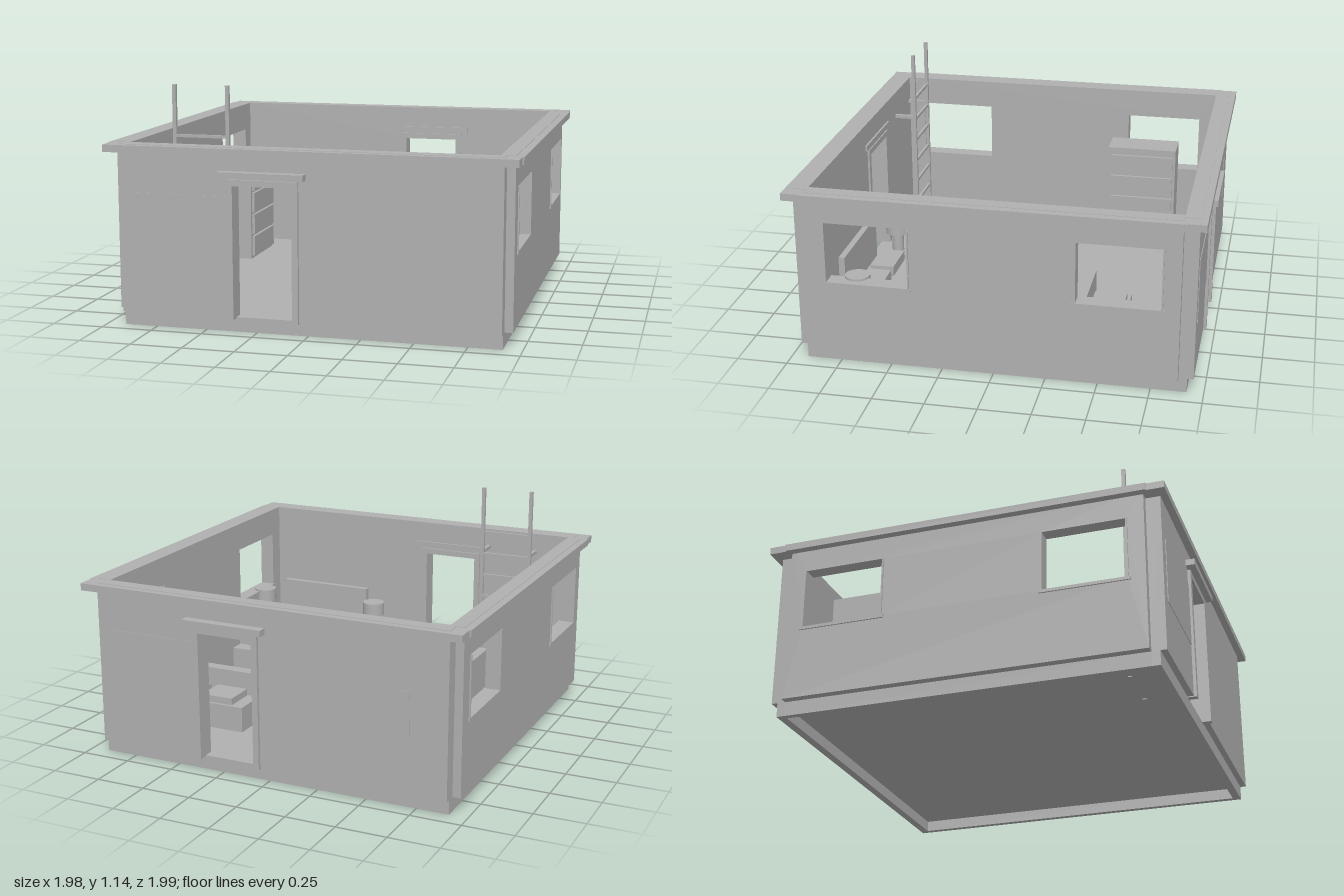
import * as THREE from 'three';

const grey = new THREE.MeshStandardMaterial({ color: 0xb0b0b0, side: THREE.DoubleSide });
grey.name = 'plain grey';

function add(parent, name, geometry) {
  const mesh = new THREE.Mesh(geometry, grey);
  mesh.name = name;
  parent.add(mesh);
  return mesh;
}

// box given by its limits on each axis
function box(parent, name, [x0, x1], [y0, y1], [z0, z1]) {
  const mesh = add(parent, name, new THREE.BoxGeometry(x1 - x0, y1 - y0, z1 - z0));
  mesh.position.set((x0 + x1) / 2, (y0 + y1) / 2, (z0 + z1) / 2);
  return mesh;
}

function group(parent, name) {
  const g = new THREE.Group();
  g.name = name;
  parent.add(g);
  return g;
}

function polygon(points) {
  return points.map(([x, y]) => new THREE.Vector2(x, y));
}

// end wall with a doorway, facing +z
function endWall(parent, name) {
  const g = group(parent, name);
  const outline = new THREE.Shape(polygon([
    [-0.91, 0.07], [-0.35, 0.07], [-0.35, 0.7], [-0.065, 0.7],
    [-0.065, 0.07], [0.91, 0.07], [0.91, 0.877], [-0.91, 0.877]]));
  const wall = add(g, 'doorWall', new THREE.ExtrudeGeometry(outline, { depth: 0.07, bevelEnabled: false }));
  wall.position.z = 0.88;
  box(g, 'doorJamb', [-0.38, -0.35], [0.065, 0.73], [0.87, 0.965]);
  box(g, 'doorJamb', [-0.065, -0.035], [0.065, 0.73], [0.87, 0.965]);
  box(g, 'doorHead', [-0.35, -0.065], [0.7, 0.73], [0.87, 0.965]);
  box(g, 'doorLintel', [-0.415, 0], [0.737, 0.768], [0.87, 0.995]);
  box(g, 'wallPanel', [-0.85, -0.38], [0.33, 0.65], [0.95, 0.953]);
  box(g, 'roofTrim', [-0.98, 0.98], [0.84, 0.875], [0.88, 0.985]);
  box(g, 'baseCourse', [-0.91, 0.91], [0, 0.07], [0.88, 0.92]);
  return g;
}

// side wall with two windows, facing +x
function sideWall(parent, name) {
  const g = group(parent, name);
  const outline = new THREE.Shape(polygon([[-0.88, 0.07], [0.88, 0.07], [0.88, 0.877], [-0.88, 0.877]]));
  for (const z of [-0.595, 0.595]) {
    outline.holes.push(new THREE.Path(polygon([
      [z - 0.2, 0.43], [z - 0.2, 0.73], [z + 0.2, 0.73], [z + 0.2, 0.43]])));
    box(g, 'windowSill', [0.875, 0.957], [0.415, 0.43], [z - 0.215, z + 0.215]);
    for (const s of [-1, 1]) {
      const edge = z + s * 0.202;
      box(g, 'windowFrame', [0.88, 0.957], [0.43, 0.73], [edge - 0.004, edge + 0.004]);
    }
  }
  const wall = add(g, 'windowWall', new THREE.ExtrudeGeometry(outline, { depth: 0.07, bevelEnabled: false }));
  wall.rotation.y = Math.PI / 2;
  wall.position.x = 0.88;
  box(g, 'roofTrim', [0.88, 0.988], [0.84, 0.875], [-0.9, 0.9]);
  box(g, 'baseCourse', [0.88, 0.91], [0, 0.07], [-0.88, 0.88]);
  return g;
}

function bed(parent) {
  const g = group(parent, 'bed');
  box(g, 'bedFrame', [0.27, 0.77], [0.07, 0.19], [0.12, 0.76]);
  box(g, 'mattress', [0.275, 0.765], [0.19, 0.27], [0.19, 0.755]);
  box(g, 'blanket', [0.265, 0.775], [0.16, 0.285], [0.19, 0.37]);
  box(g, 'footBench', [0.268, 0.772], [0.07, 0.25], [0.11, 0.19]);
  box(g, 'headboard', [0.26, 0.78], [0.07, 0.48], [0.757, 0.787]);
  box(g, 'pillow', [0.295, 0.497], [0.27, 0.32], [0.6, 0.72]);
  box(g, 'pillow', [0.537, 0.742], [0.27, 0.32], [0.6, 0.72]);
}

function nightstand(parent, x) {
  const g = group(parent, 'nightstand');
  box(g, 'standBody', [x - 0.063, Math.min(x + 0.063, 0.93)], [0.07, 0.27], [0.6, 0.735]);
  const stem = add(g, 'lampStem', new THREE.CylinderGeometry(0.03, 0.03, 0.1, 20));
  stem.position.set(x, 0.32, 0.667);
  const shade = add(g, 'lampShade', new THREE.CylinderGeometry(0.06, 0.06, 0.07, 24));
  shade.position.set(x, 0.405, 0.667);
}

function sofa(parent) {
  const g = group(parent, 'sofa');
  box(g, 'sofaSeat', [0.335, 0.84], [0.07, 0.2], [-0.585, -0.405]);
  box(g, 'sofaBack', [0.335, 0.84], [0.07, 0.32], [-0.405, -0.345]);
  box(g, 'sofaCushion', [0.4, 0.57], [0.2, 0.235], [-0.57, -0.41]);
  box(g, 'sofaCushion', [0.61, 0.78], [0.2, 0.235], [-0.57, -0.41]);
}

function dresser(parent) {
  const g = group(parent, 'dresser');
  box(g, 'dresserBody', [-0.86, -0.69], [0.07, 0.6], [-0.685, -0.312]);
  for (let i = 0; i < 4; i++) {
    const y = 0.085 + i * 0.122;
    box(g, 'drawerFront', [-0.69, -0.675], [y, y + 0.11], [-0.67, -0.33]);
  }
}

function ladder(parent) {
  const g = group(parent, 'ladder');
  for (const x of [-0.713, -0.447]) {
    box(g, 'ladderRail', [x - 0.009, x + 0.009], [0.05, 1.14], [0.724, 0.742]);
    box(g, 'ladderBracket', [x - 0.009, x + 0.009], [0.78, 0.798], [0.742, 0.84]);
  }
  for (let i = 0; i < 7; i++) {
    const y = 0.895 - i * 0.12;
    box(g, 'ladderRung', [-0.704, -0.456], [y - 0.007, y + 0.007], [0.726, 0.74]);
  }
}

export function createModel() {
  const model = new THREE.Group();
  model.name = 'furnishedRoom';

  // shell
  box(model, 'floor', [-0.88, 0.88], [0.055, 0.07], [-0.88, 0.88]);
  endWall(model, 'frontWall');
  const back = endWall(model, 'backWall');
  back.rotation.y = Math.PI;
  box(back, 'wallPlate', [0.68, 0.725], [0.36, 0.57], [0.95, 0.953]);
  sideWall(model, 'leftWall');
  sideWall(model, 'rightWall').rotation.y = Math.PI;

  // furniture
  bed(model);
  nightstand(model, 0.173);
  nightstand(model, 0.863);
  sofa(model);
  dresser(model);
  ladder(model);
  return model;
}
